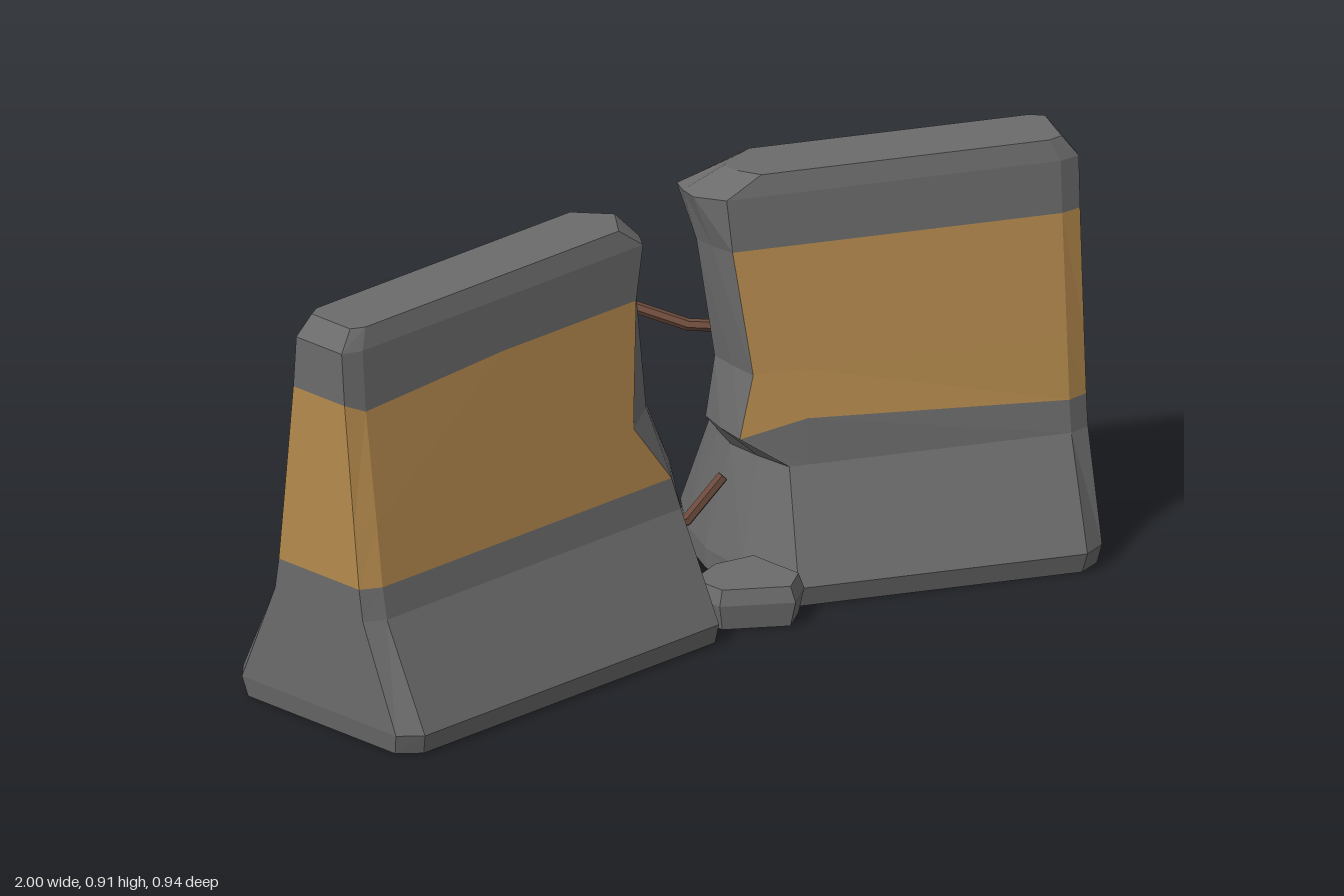
import * as THREE from 'three';

const concrete = new THREE.MeshStandardMaterial({ color: 0x6b6b6b });
concrete.name = 'concrete grey';
const paint = new THREE.MeshStandardMaterial({ color: 0xb58a4d });
paint.name = 'faded ochre paint';
const rust = new THREE.MeshStandardMaterial({ color: 0x6b4a3c });
rust.name = 'rusty brown';

// Barrier profile: height and half width; the painted band lies between levels 3 and 5
const LEVELS = [[0, 0.26], [0.045, 0.272], [0.275, 0.158], [0.345, 0.145],
  [0.48, 0.128], [0.75, 0.095], [0.865, 0.085], [0.91, 0.073]];
const BAND = [3, 5];

function soup(triangles, material, name) {
  const g = new THREE.BufferGeometry();
  g.setAttribute('position', new THREE.Float32BufferAttribute(triangles, 3));
  g.computeVertexNormals();
  const mesh = new THREE.Mesh(g, material);
  mesh.name = name;
  return mesh;
}

// Joins rings of points (each running clockwise seen from above when flip is false)
function skin(rings, flip, pick) {
  const tri = (list, a, b, c) => list.push(...a, ...(flip ? c : b), ...(flip ? b : c));
  const n = rings[0].length;
  for (let l = 0; l < rings.length - 1; l++) {
    for (let i = 0; i < n; i++) {
      const j = (i + 1) % n, list = pick(l, i);
      tri(list, rings[l][i], rings[l][j], rings[l + 1][j]);
      tri(list, rings[l][i], rings[l + 1][j], rings[l + 1][i]);
    }
  }
  // Flat caps
  [rings[0], rings[rings.length - 1]].forEach((ring, top) => {
    const mid = [0, 1, 2].map(k => ring.reduce((s, p) => s + p[k], 0) / n);
    for (let i = 0; i < n; i++) {
      const a = ring[i], b = ring[(i + 1) % n];
      if (top) tri(pick(-1, i), mid, a, b); else tri(pick(-1, i), mid, b, a);
    }
  });
}

// One barrier half: whole end at x = 0, broken end at dir * x.
// breaks: per level, the broken end's reach at front, front middle, centre, back middle, back
function barrier(name, dir, breaks, sideU, lift) {
  const rings = LEVELS.map(([y, w], l) => {
    const top = l === LEVELS.length - 1;
    const end = top ? 0.035 : l === 0 ? 0.008 : 0;
    const cut = end + (top ? 0.03 : 0.045);
    const e = w * 0.87 - 0.006;
    const [f, fm, c, bm, b] = breaks[l];
    return [[end, e], [cut, w], [sideU, w], [f, w], [fm, w * 0.5], [c, 0],
      [bm, -w * 0.5], [b, -w], [sideU, -w], [cut, -w], [end, -e]]
      .map(([u, v], i) => [dir * u, y + (lift[l + ',' + i] || 0), v]);
  });
  const grey = [], ochre = [];
  const broken = i => i >= 3 && i <= 6;
  skin(rings, dir < 0, (l, i) => (l >= BAND[0] && l < BAND[1] && !broken(i) ? ochre : grey));
  const group = new THREE.Group();
  group.name = name;
  group.add(soup(grey, concrete, name + 'Concrete'), soup(ochre, paint, name + 'PaintBand'));
  return group;
}

// Rubble lump from a plan outline of [x, z] corners
function chunk(name, outline, height) {
  const n = outline.length;
  const cx = outline.reduce((s, p) => s + p[0], 0) / n;
  const cz = outline.reduce((s, p) => s + p[1], 0) / n;
  const rings = [[0, 0.9], [0.62, 1], [1, 0.9]].map(([h, s]) =>
    outline.map(([x, z]) => [cx + (x - cx) * s, h * height, cz + (z - cz) * s]));
  const list = [];
  skin(rings, true, () => list);
  return soup(list, concrete, name);
}

// Bent reinforcing bar with mitred joint and closed ends
function rebar(name, points) {
  const p = points.map(a => new THREE.Vector3(...a));
  const path = new THREE.CurvePath();
  for (let i = 0; i < p.length - 1; i++) path.add(new THREE.LineCurve3(p[i], p[i + 1]));
  const group = new THREE.Group();
  group.name = name;
  path.curves.forEach(({ v1, v2 }) => {
    const d = v2.clone().sub(v1);
    const g = new THREE.CylinderGeometry(0.013, 0.013, d.length() + 0.006, 6).toNonIndexed();
    g.computeVertexNormals();
    const m = new THREE.Mesh(g, rust);
    m.name = name + 'Segment';
    m.position.copy(v1).add(v2).multiplyScalar(0.5);
    m.quaternion.setFromUnitVectors(new THREE.Vector3(0, 1, 0), d.normalize());
    group.add(m);
  });
  return group;
}

export function createModel() {
  const model = new THREE.Group();
  model.name = 'brokenBarrier';

  // Straight half, broken evenly front and back
  const even = [[0.91, 0.97, 1.02], [0.91, 0.97, 1.015], [0.91, 0.95, 0.967], [0.895, 0.96, 0.985],
    [0.8, 0.9, 0.95], [0.84, 0.885, 0.905], [0.87, 0.9, 0.91], [0.81, 0.84, 0.87]]
    .map(([s, m, c]) => [s, m, c, m, s]);
  const straight = barrier('straightHalf', 1, even, 0.45, { '5,1': -0.02, '5,9': -0.01 });
  straight.position.set(-1, 0, -0.073);

  // Half knocked out of line
  const uneven = [[0.68, 0.76, 0.8, 0.8, 0.77], [0.68, 0.76, 0.8, 0.8, 0.77],
    [0.665, 0.71, 0.745, 0.75, 0.74], [0.77, 0.79, 0.8, 0.77, 0.74],
    [0.735, 0.76, 0.78, 0.75, 0.67], [0.77, 0.8, 0.82, 0.78, 0.71],
    [0.78, 0.84, 0.85, 0.85, 0.76], [0.7, 0.74, 0.76, 0.73, 0.68]];
  const turned = barrier('turnedHalf', -1, uneven, 0.62, { '3,2': 0.03, '3,9': 0.03 });
  turned.position.set(0.895, 0, 0.245);
  turned.rotation.y = -0.473;

  model.add(straight, turned,
    // Exposed bars
    rebar('upperBar', [[-0.14, 0.605, -0.14], [-0.06, 0.635, -0.19], [0, 0.685, -0.255]]),
    rebar('lowerBar', [[-0.08, 0.185, -0.03], [0, 0.2, 0.01], [0.075, 0.285, 0.04]]),
    rebar('turnedBar', [[0.27, 0.52, -0.13], [0.215, 0.518, -0.205], [0.158, 0.545, -0.3]]),
    // Rubble
    chunk('backChunk', [[-0.05, -0.47], [0.07, -0.47], [0.19, -0.38], [0.18, -0.25], [0.07, -0.25], [-0.06, -0.33]], 0.09),
    chunk('smallChunk', [[0.23, -0.45], [0.28, -0.465], [0.33, -0.45], [0.32, -0.4], [0.28, -0.375], [0.23, -0.4]], 0.056),
    chunk('frontChunk', [[-0.04, 0.055], [0.06, 0.025], [0.16, 0.05], [0.16, 0.2], [0.09, 0.245], [-0.04, 0.15]], 0.09));
  return model;
}
